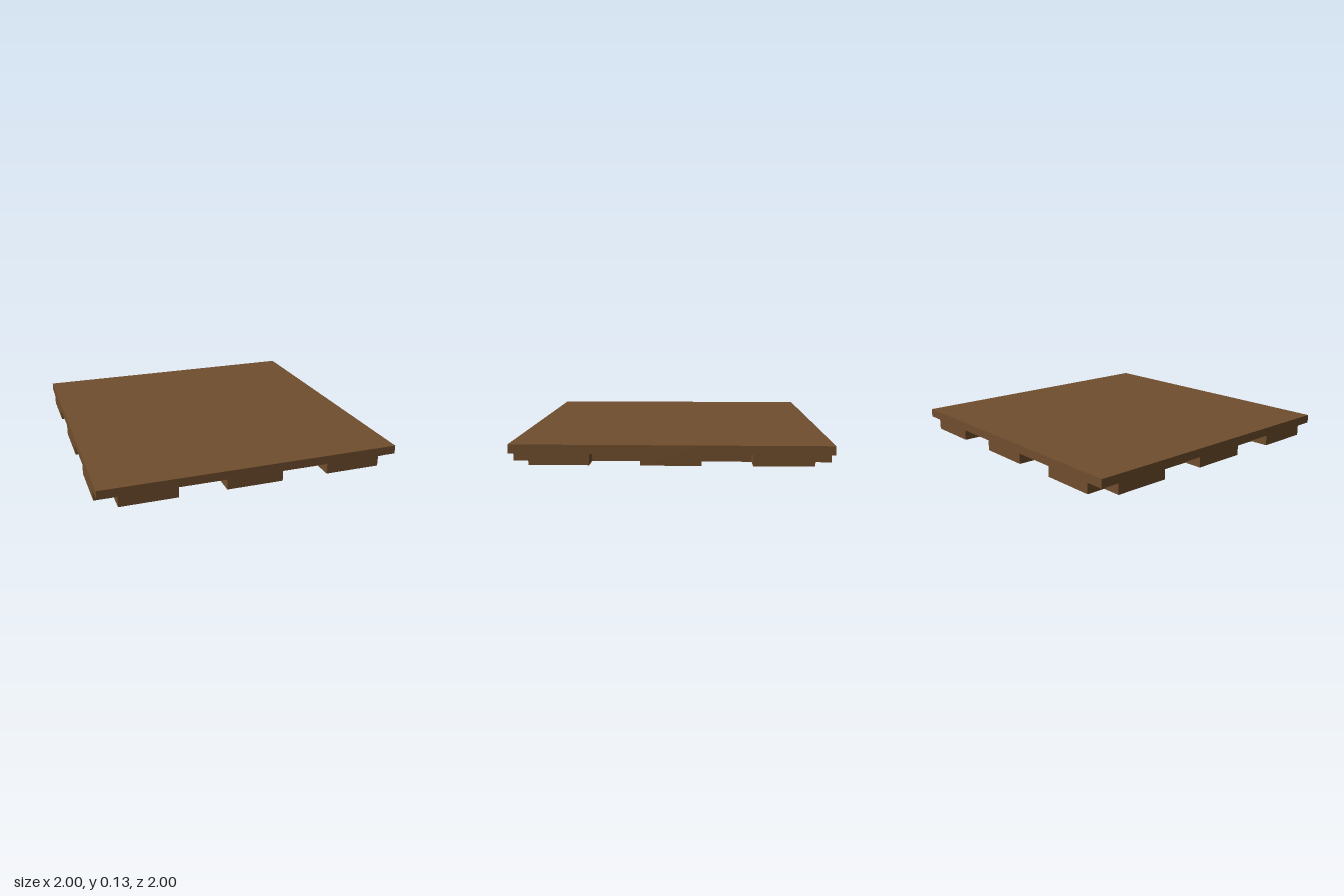
import * as THREE from 'three';

const TOP = 0.127;     // upper surface
const CEILING = 0.07;  // roof of the pockets underneath
const CUTS = [-1, -0.875, -0.5, -0.1875, 0.1875, 0.5, 0.875, 1];
const BANDS = CUTS.length - 1;

// Collects flat quads; corners run counter-clockwise seen from outside.
function quadBuilder() {
  const points = [];
  return {
    add(a, b, c, d) { points.push(...a, ...b, ...c, ...a, ...c, ...d); },
    build() {
      const geometry = new THREE.BufferGeometry();
      geometry.setAttribute('position', new THREE.Float32BufferAttribute(points, 3));
      geometry.computeVertexNormals();
      return geometry;
    },
  };
}

// Pockets lie where an even band in x crosses an even band in z.
const isPocket = (i, j) => i % 2 === 0 && j % 2 === 0;

// Underside height of a grid cell; outside the tile it counts as the top.
function floorAt(i, j) {
  if (i < 0 || j < 0 || i >= BANDS || j >= BANDS) return TOP;
  return isPocket(i, j) ? CEILING : 0;
}

export function createModel() {
  const wood = new THREE.MeshStandardMaterial({ color: 0x704e2d });
  wood.name = 'brown wood';
  const group = new THREE.Group();
  group.name = 'floorTile';

  // Smooth upper surface
  const deck = quadBuilder();
  deck.add([-1, TOP, 1], [1, TOP, 1], [1, TOP, -1], [-1, TOP, -1]);

  // Underside and rim, with a wall wherever a cell drops below its neighbour
  const base = quadBuilder();
  for (let i = 0; i < BANDS; i++) {
    for (let j = 0; j < BANDS; j++) {
      const [x0, x1, z0, z1] = [CUTS[i], CUTS[i + 1], CUTS[j], CUTS[j + 1]];
      const y = floorAt(i, j);
      base.add([x0, y, z0], [x1, y, z0], [x1, y, z1], [x0, y, z1]);
      const sides = [
        [1, 0, [x1, z1], [x1, z0]],
        [-1, 0, [x0, z0], [x0, z1]],
        [0, 1, [x0, z1], [x1, z1]],
        [0, -1, [x1, z0], [x0, z0]],
      ];
      for (const [di, dj, [ax, az], [bx, bz]] of sides) {
        const h = floorAt(i + di, j + dj);
        if (h > y) base.add([ax, y, az], [bx, y, bz], [bx, h, bz], [ax, h, az]);
      }
    }
  }

  for (const [name, part] of [['deckSurface', deck], ['notchedBase', base]]) {
    const mesh = new THREE.Mesh(part.build(), wood);
    mesh.name = name;
    group.add(mesh);
  }
  return group;
}
